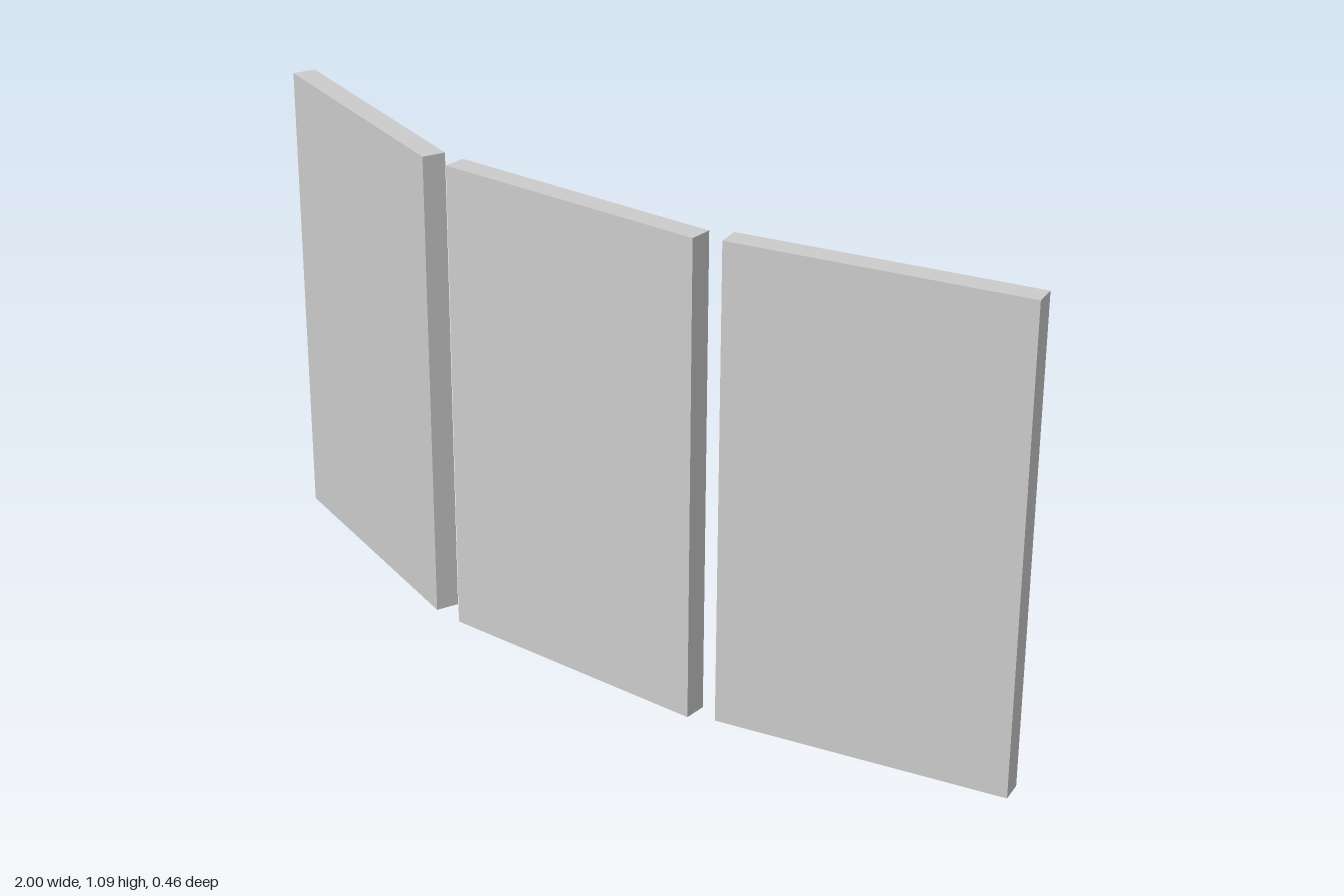
import * as THREE from 'three';

const HEIGHT = 1.085, WIDTH = 0.652, THICKNESS = 0.053;

// Three free-standing flat panels: centre x, centre z, turn about y in degrees
const PANELS = [
  ['rightPanel', -0.7, -0.053, -28.1],
  ['middlePanel', -0.026, 0.161, -7.9],
  ['leftPanel', 0.673, 0.165, 3.95],
];

export function createModel() {
  const group = new THREE.Group();
  group.name = 'foldingScreen';
  const material = new THREE.MeshStandardMaterial({ color: 0xcccccc, flatShading: true });
  const geometry = new THREE.BoxGeometry(WIDTH, HEIGHT, THICKNESS);

  for (const [name, x, z, degrees] of PANELS) {
    const panel = new THREE.Mesh(geometry, material);
    panel.name = name;
    panel.position.set(x, HEIGHT / 2, z);
    panel.rotation.y = THREE.MathUtils.degToRad(degrees);
    group.add(panel);
  }
  return group;
}
